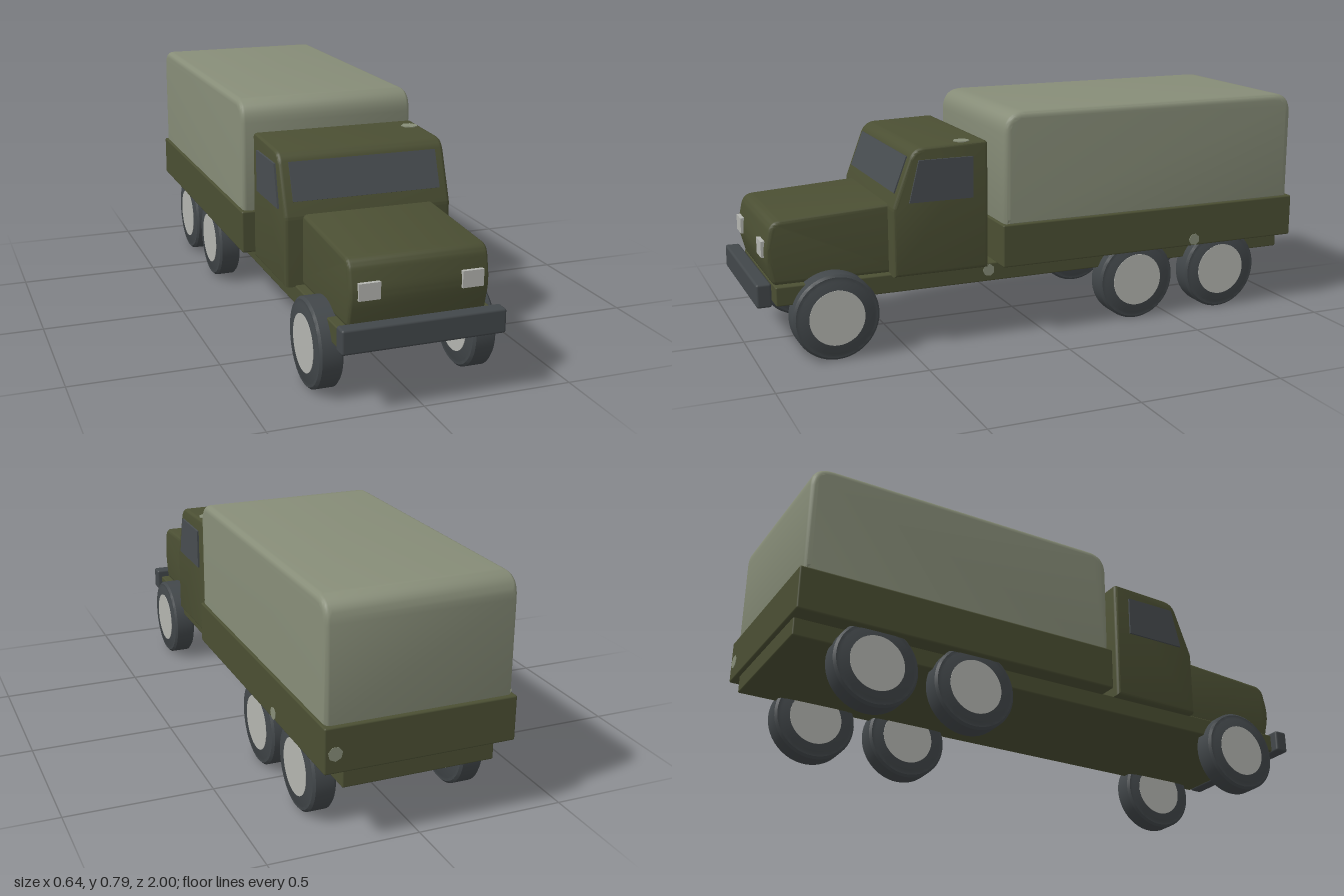
import * as THREE from 'three';
import { toCreasedNormals } from 'three/addons/utils/BufferGeometryUtils.js';
import { RoundedBoxGeometry } from 'three/addons/geometries/RoundedBoxGeometry.js';

function material(name, color) {
  const m = new THREE.MeshStandardMaterial({ color });
  m.name = name;
  return m;
}

// Closed shape from [z, y, cornerRadius] points
function roundedShape(points) {
  const shape = new THREE.Shape();
  const n = points.length;
  const at = (i) => new THREE.Vector2(points[(i + n) % n][0], points[(i + n) % n][1]);
  for (let i = 0; i < n; i++) {
    const p = at(i), r = points[i][2] || 0;
    const a = p.clone().add(at(i - 1).sub(p).setLength(r));
    const b = p.clone().add(at(i + 1).sub(p).setLength(r));
    if (i === 0) shape.moveTo(a.x, a.y); else shape.lineTo(a.x, a.y);
    if (r) shape.quadraticCurveTo(p.x, p.y, b.x, b.y);
  }
  shape.closePath();
  return shape;
}

// Side profile swept across the truck's width with softened side edges
function sweep(points, halfWidth, bevel) {
  const g = new THREE.ExtrudeGeometry(roundedShape(points), {
    depth: 2 * (halfWidth - bevel), curveSegments: 8,
    bevelEnabled: bevel > 0, bevelSize: bevel, bevelThickness: bevel,
    bevelOffset: -bevel, bevelSegments: 5,
  });
  g.translate(0, 0, -(halfWidth - bevel));
  g.rotateY(-Math.PI / 2);
  return toCreasedNormals(g, 0.6);
}

export function createModel() {
  const truck = new THREE.Group();
  truck.name = 'truck';
  const green = material('olive paint', 0x4b4f33);
  const canvas = material('canvas', 0x878d78);
  const rubber = material('dark rubber', 0x42474a);
  const glass = material('window glass', 0x484d50);
  const metal = material('light metal', 0xb4b5b0);

  const add = (name, geometry, mat, x = 0, y = 0, z = 0, parent = truck) => {
    const mesh = new THREE.Mesh(geometry, mat);
    mesh.name = name;
    mesh.position.set(x, y, z);
    parent.add(mesh);
    return mesh;
  };

  // Frame, cargo bed and bumper
  add('chassis', new RoundedBoxGeometry(0.51, 0.065, 1.92, 2, 0.005), green, 0, 0.2275, -0.025);
  add('cargoBed', new RoundedBoxGeometry(0.64, 0.15, 1.166, 2, 0.006), green, 0, 0.33, -0.417);
  add('bumper', new RoundedBoxGeometry(0.536, 0.08, 0.05, 3, 0.008), rubber, 0, 0.24, 0.975);

  // Canvas cover
  add('canvasCover', sweep([
    [0.157, 0.397, 0.01], [0.157, 0.79, 0.075], [-0.985, 0.79, 0.075], [-0.985, 0.397, 0.01],
  ], 0.313, 0.022), canvas);

  // Cab and hood
  add('cab', sweep([
    [0.545, 0.255], [0.545, 0.49, 0.01], [0.47, 0.688, 0.04], [0.208, 0.696, 0.014], [0.208, 0.255],
  ], 0.29, 0.014), green);
  add('hood', sweep([
    [0.5, 0.255], [0.935, 0.255, 0.02], [0.962, 0.36, 0.04], [0.938, 0.472, 0.035], [0.5, 0.498],
  ], 0.228, 0.016), green);

  // Windshield lying on the sloped cab front
  const slope = Math.atan2(0.075, 0.198);
  const windshield = add('windshield', new THREE.BoxGeometry(0.512, 0.129, 0.008), glass, 0, 0.596, 0.505);
  windshield.rotation.x = -slope;

  // Side windows and headlights
  const sideWindow = sweep([
    [0.49, 0.507], [0.455, 0.648], [0.265, 0.648], [0.265, 0.507],
  ], 0.004, 0);
  for (const side of [-1, 1]) {
    add('sideWindow', sideWindow, glass, side * 0.2925);
    add('headlight', new THREE.BoxGeometry(0.07, 0.054, 0.024), metal, side * 0.168, 0.377, 0.954);
  }

  // Wheels: lathed tyre with a pale disc on both faces
  const tyre = toCreasedNormals(new THREE.LatheGeometry([
    [0, -0.042], [0.122, -0.042], [0.128, -0.039], [0.138, -0.039], [0.146, -0.031],
    [0.146, 0.031], [0.138, 0.039], [0.128, 0.039], [0.122, 0.042], [0, 0.042],
  ].map(([r, y]) => new THREE.Vector2(r, y)), 48), 0.6);
  const disc = new THREE.CylinderGeometry(0.094, 0.094, 0.087, 40);
  for (const z of [0.745, -0.365, -0.715]) {
    for (const side of [-1, 1]) {
      const wheel = new THREE.Group();
      wheel.name = 'wheel';
      wheel.position.set(side * 0.256, 0.146, z);
      wheel.rotation.z = Math.PI / 2;
      truck.add(wheel);
      add('tyre', tyre, rubber, 0, 0, 0, wheel);
      add('hubDisc', disc, metal, 0, 0, 0, wheel);
    }
  }

  // Small worn paint chips
  const chip = new THREE.CylinderGeometry(0.024, 0.024, 0.003, 7);
  const chips = [
    [0.256, 0.235, 0.195, 'x', 0.9], [0.321, 0.278, -0.585, 'x', 0.9],
    [0.285, 0.32, -1, 'z', 1], [0.25, 0.695, 0.29, 'y', 1.2],
  ];
  for (const [x, y, z, axis, size] of chips) {
    const mesh = add('paintChip', chip, canvas, x, y, z);
    mesh.scale.set(size, 1, size);
    if (axis === 'x') mesh.rotation.z = Math.PI / 2;
    if (axis === 'z') mesh.rotation.x = Math.PI / 2;
  }

  return truck;
}
